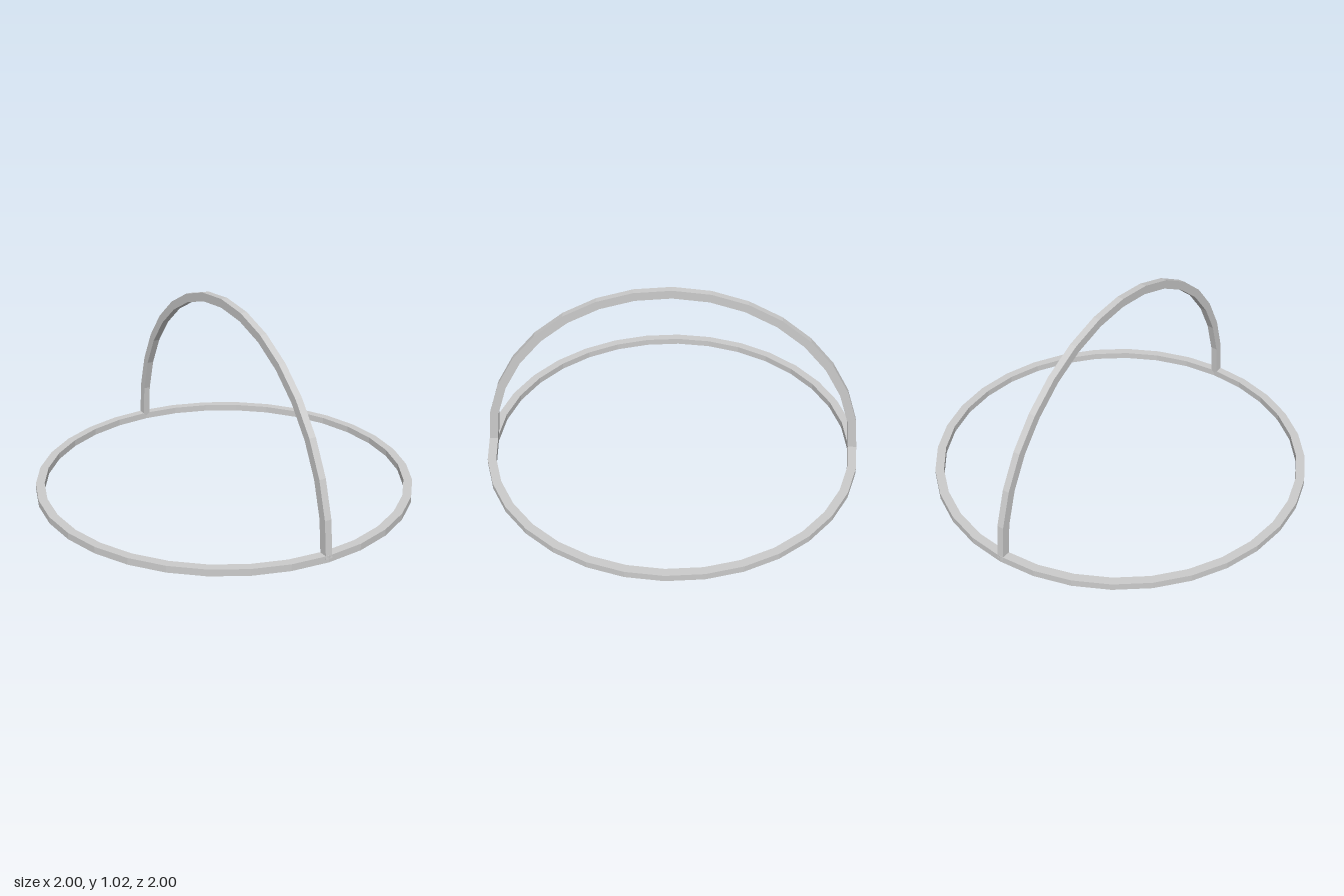
import * as THREE from 'three';

const OUTER = 1, INNER = 0.954, THICK = 0.036, SEGMENTS = 32;

// Points along a faceted arc, starting at +x and turning counter-clockwise
function arcPoints(radius, segments) {
  const points = [];
  for (let i = 0; i <= segments; i++) {
    const a = (i / SEGMENTS) * Math.PI * 2;
    points.push(new THREE.Vector2(Math.cos(a) * radius, Math.sin(a) * radius));
  }
  return points;
}

export function createModel() {
  const group = new THREE.Group();
  const material = new THREE.MeshStandardMaterial({ color: 0xcccccc, flatShading: true });

  // Flat base ring: rectangular section turned around the y axis
  const section = [[INNER, 0], [OUTER, 0], [OUTER, THICK], [INNER, THICK], [INNER, 0]]
    .map(([r, y]) => new THREE.Vector2(r, y));
  const baseRing = new THREE.Mesh(new THREE.LatheGeometry(section, SEGMENTS), material);
  baseRing.name = 'baseRing';
  group.add(baseRing);

  // Upright half ring with closed ends set into the base ring
  const half = SEGMENTS / 2;
  const outline = [...arcPoints(OUTER, half), ...arcPoints(INNER, half).reverse()];
  const archGeometry = new THREE.ExtrudeGeometry(new THREE.Shape(outline), {
    depth: THICK, bevelEnabled: false,
  });
  archGeometry.translate(0, 0, -THICK / 2).rotateY(Math.PI / 2);
  const arch = new THREE.Mesh(archGeometry, material);
  arch.name = 'arch';
  arch.position.y = THICK / 2;
  group.add(arch);

  return group;
}
